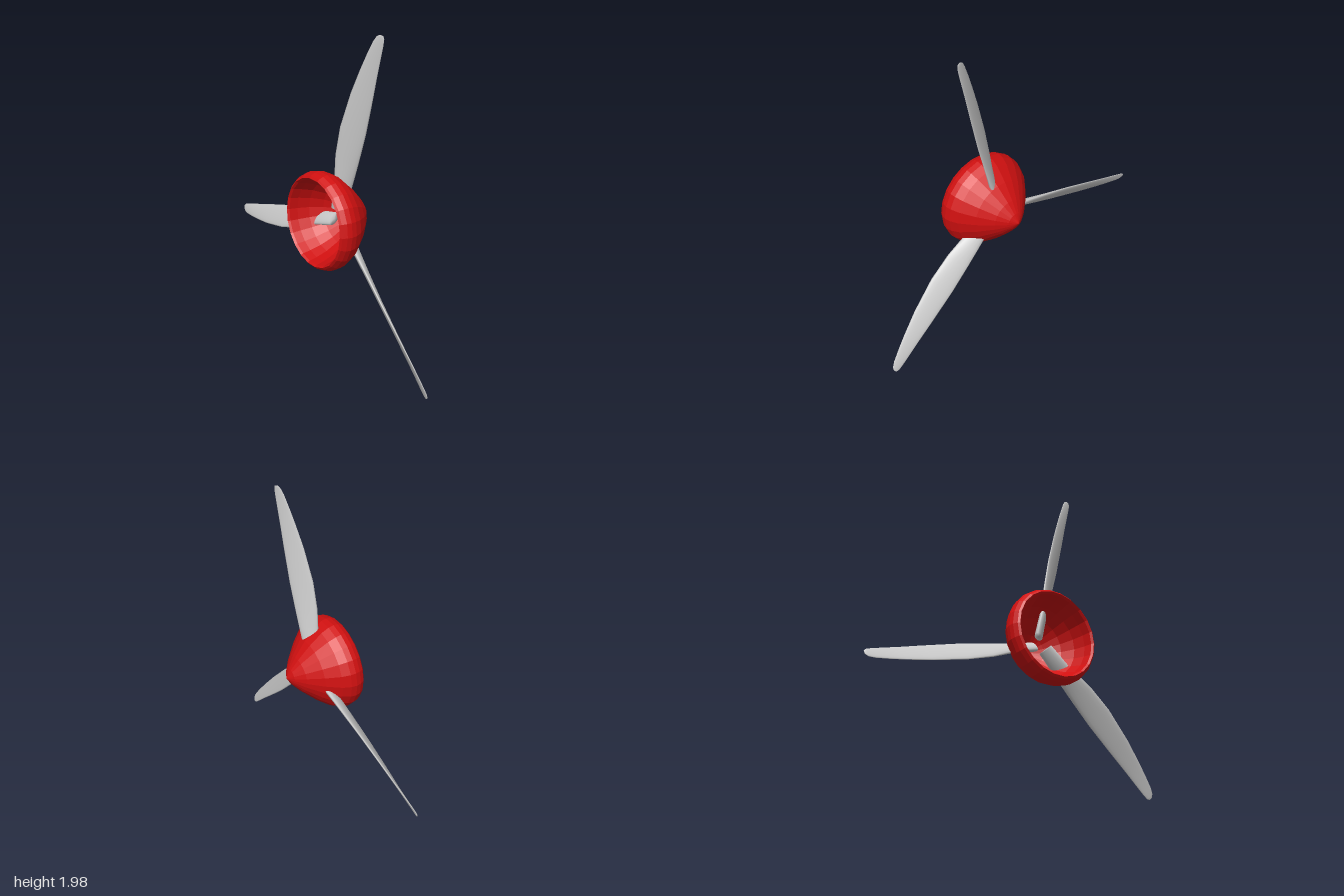
import * as THREE from 'three';

// Blade stations: radius, trailing edge (tangent, axial), leading edge (tangent, axial), half thickness
const STATIONS = [
  [0.05, -0.015, -0.022, -0.015, -0.022, 0],
  [0.05, -0.045, -0.055, 0.015, 0.012, 0.024],
  [0.2, -0.05, -0.062, 0.02, 0.017, 0.021],
  [0.29, -0.064, -0.068, 0.026, 0.018, 0.018],
  [0.4, -0.08, -0.074, 0.032, 0.019, 0.015],
  [0.58, -0.089, -0.073, 0.039, 0.02, 0.012],
  [0.8, -0.078, -0.055, 0.036, 0.018, 0.009],
  [0.95, -0.062, -0.036, 0.032, 0.016, 0.007],
  [1.05, -0.048, -0.022, 0.031, 0.015, 0.006],
  [1.13, -0.034, -0.01, 0.03, 0.014, 0.005],
  [1.165, -0.022, -0.002, 0.027, 0.013, 0.004],
  [1.18, -0.006, 0.004, 0.018, 0.011, 0.003],
  [1.18, 0.006, 0.008, 0.006, 0.008, 0],
];

// Twisted blade along +y, skinned over lens-shaped sections
function bladeGeometry(sides = 16) {
  const positions = [], index = [];
  for (const [r, t0, a0, t1, a1, thick] of STATIONS) {
    const ct = (t1 - t0) / 2, ca = (a1 - a0) / 2;
    const half = Math.hypot(ct, ca) || 1;
    for (let j = 0; j < sides; j++) {
      const phi = (j / sides) * Math.PI * 2;
      const c = Math.cos(phi), n = Math.sin(phi) * thick;
      const x = (a0 + a1) / 2 + ca * c + (ct / half) * n;
      const z = (t0 + t1) / 2 + ct * c - (ca / half) * n;
      positions.push(x, r, z);
    }
  }
  for (let i = 0; i < STATIONS.length - 1; i++) {
    for (let j = 0; j < sides; j++) {
      const k = (j + 1) % sides;
      const a = i * sides + j, b = i * sides + k;
      index.push(a, b, b + sides, a, b + sides, a + sides);
    }
  }
  const g = new THREE.BufferGeometry();
  g.setAttribute('position', new THREE.Float32BufferAttribute(positions, 3));
  g.setIndex(index);
  g.computeVertexNormals();
  return g;
}

export function createModel() {
  const model = new THREE.Group();
  model.name = 'propeller';

  // Hollow spinner: inner wall, rolled rim, outer shell to the pointed nose
  const profile = [
    [0, 0.15], [0.1, 0.09], [0.18, 0.015], [0.225, -0.06], [0.25, -0.13],
    [0.262, -0.18], [0.272, -0.193], [0.284, -0.183], [0.298, -0.155],
    [0.303, -0.125], [0.297, -0.09], [0.273, -0.04], [0.205, 0.04],
    [0.12, 0.12], [0.055, 0.17], [0, 0.2],
  ].map(([r, y]) => new THREE.Vector2(r, y));
  const spinnerGeometry = new THREE.LatheGeometry(profile, 22);
  spinnerGeometry.rotateZ(-Math.PI / 2);
  const spinner = new THREE.Mesh(
    spinnerGeometry,
    new THREE.MeshStandardMaterial({ color: 0xd01010, flatShading: true })
  );
  spinner.name = 'spinner';
  model.add(spinner);

  // Three blades evenly spaced around the shaft
  const geometry = bladeGeometry();
  const grey = new THREE.MeshStandardMaterial({ color: 0xcccccc });
  for (let i = 0; i < 3; i++) {
    const blade = new THREE.Mesh(geometry, grey);
    blade.name = 'blade' + (i + 1);
    blade.position.x = 0.02;
    blade.rotation.x = THREE.MathUtils.degToRad(14.2 + i * 120);
    model.add(blade);
  }

  // Slight tilt of the shaft
  model.rotation.set(0, 0.05, -0.03);
  model.position.set(0, 0.848, 0.149);

  const root = new THREE.Group();
  root.name = 'propellerAssembly';
  root.add(model);
  return root;
}
